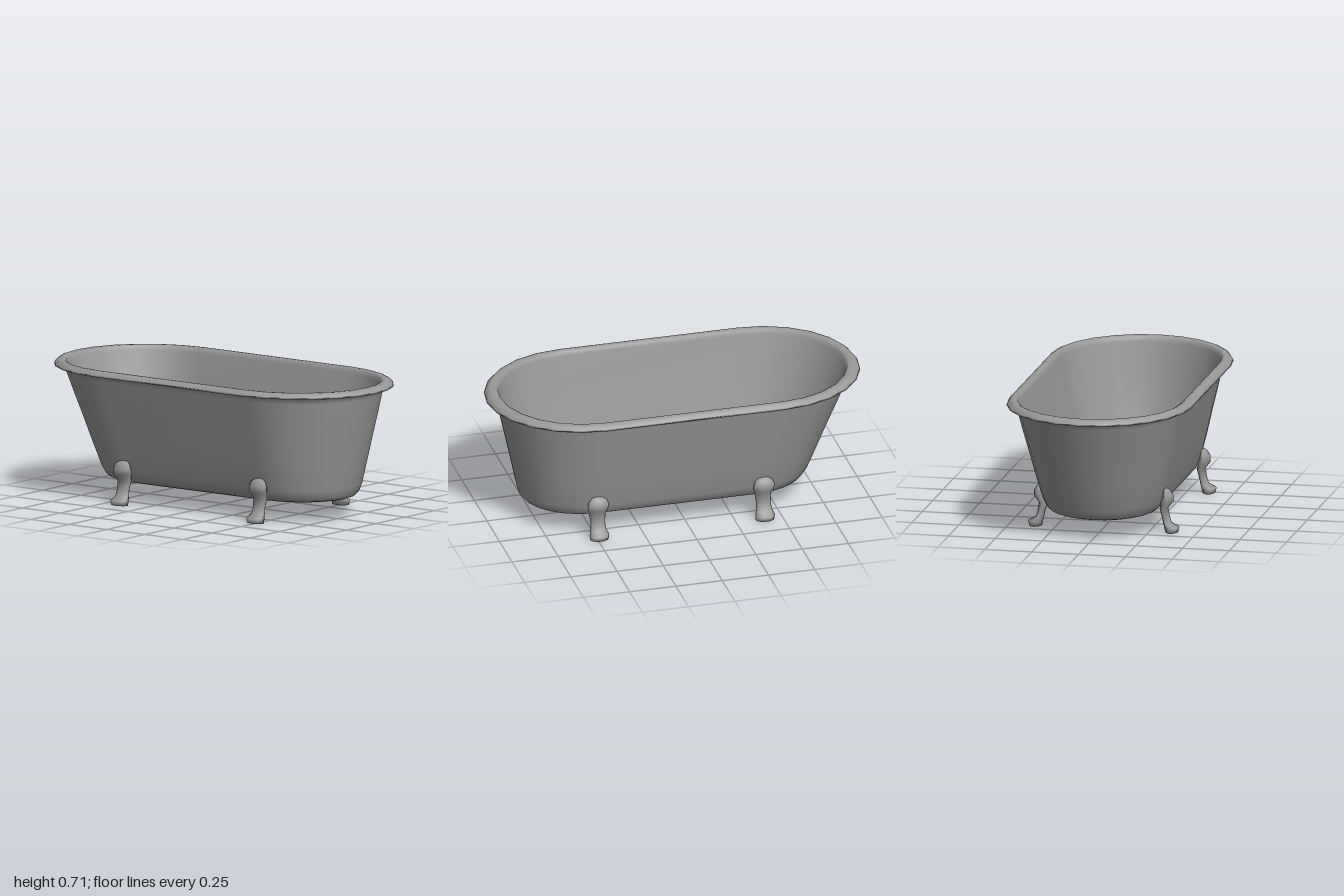
import * as THREE from 'three';

const material = new THREE.MeshStandardMaterial({ color: 0x999999 });

// Skin a stack of equal-length closed rings of [x, y, z] points, shaded smooth
function loft(rings) {
  const n = rings[0].length;
  const index = [];
  for (let i = 0; i < rings.length - 1; i++) {
    for (let j = 0; j < n; j++) {
      const a = i * n + j, b = i * n + (j + 1) % n;
      index.push(a, a + n, b, b, a + n, b + n);
    }
  }
  const geometry = new THREE.BufferGeometry();
  geometry.setAttribute('position', new THREE.Float32BufferAttribute(rings.flat(2), 3));
  geometry.setIndex(index);
  geometry.computeVertexNormals();
  return geometry;
}

// Oblong ring: straight sides joined by two half-ellipse ends
function oblong([y, xLow, xHigh, halfZ]) {
  const cHigh = 0.48;
  const cLow = -0.39 - 0.09 * THREE.MathUtils.clamp((y - 0.1) / 0.58, 0, 1);
  const ring = [];
  for (let k = -6; k <= 6; k++) {
    const t = k * Math.PI / 12;
    ring.push([cHigh + (xHigh - cHigh) * Math.cos(t), y, halfZ * Math.sin(t)]);
  }
  for (let k = 6; k <= 18; k++) {
    const t = k * Math.PI / 12;
    ring.push([cLow - (xLow - cLow) * Math.cos(t), y, halfZ * Math.sin(t)]);
  }
  return ring;
}

// Ring of a leg, ten-sided
function legRing([y, zIn, zOut, halfX]) {
  return Array.from({ length: 10 }, (_, k) => {
    const t = k * Math.PI / 5;
    return [halfX * Math.cos(t), y, (zIn + zOut) / 2 + (zOut - zIn) / 2 * Math.sin(t)];
  });
}

export function createModel() {
  const group = new THREE.Group();

  // Each row: height, low x, high x, half depth
  const outer = [
    [0.105, -0.39, 0.48, 0],
    [0.105, -0.665, 0.78, 0.262],
    [0.113, -0.69, 0.805, 0.282],
    [0.13, -0.705, 0.82, 0.299],
    [0.17, -0.73, 0.835, 0.317],
    [0.30, -0.785, 0.862, 0.35],
    [0.42, -0.835, 0.888, 0.377],
    [0.55, -0.892, 0.917, 0.408],
    [0.65, -0.935, 0.938, 0.43],
    [0.686, -0.95, 0.945, 0.438],
  ];
  const rim = [
    [0.686, -1, 1, 0.487],
    [0.695, -0.995, 0.995, 0.482],
    [0.708, -0.983, 0.983, 0.47],
    [0.714, -0.968, 0.968, 0.457],
    [0.714, -0.945, 0.942, 0.442],
    [0.708, -0.931, 0.928, 0.43],
  ];
  const inner = [
    [0.686, -0.925, 0.922, 0.424],
    [0.55, -0.875, 0.9, 0.395],
    [0.42, -0.822, 0.876, 0.365],
    [0.30, -0.772, 0.85, 0.338],
    [0.20, -0.725, 0.825, 0.314],
    [0.16, -0.705, 0.807, 0.3],
    [0.135, -0.68, 0.785, 0.277],
    [0.122, -0.64, 0.75, 0.245],
    [0.12, -0.39, 0.48, 0],
  ];
  const tub = new THREE.Mesh(loft([...outer, ...rim, ...inner].map(oblong)), material);
  tub.name = 'tub';
  group.add(tub);

  // Legs: height, inner z, outer z, half width
  const legGeometry = loft([
    [0, 0.36, 0.36, 0],
    [0, 0.33, 0.396, 0.05],
    [0.025, 0.325, 0.403, 0.053],
    [0.045, 0.32, 0.362, 0.043],
    [0.08, 0.312, 0.352, 0.039],
    [0.125, 0.3, 0.343, 0.044],
    [0.16, 0.306, 0.37, 0.054],
    [0.19, 0.316, 0.37, 0.058],
    [0.215, 0.32, 0.356, 0.047],
    [0.229, 0.323, 0.34, 0.025],
    [0.232, 0.331, 0.331, 0],
  ].map(legRing));
  for (const x of [-0.405, 0.49]) {
    for (const back of [false, true]) {
      const leg = new THREE.Mesh(legGeometry, material);
      leg.name = (back ? 'back' : 'front') + (x > 0 ? 'Left' : 'Right') + 'Leg';
      leg.position.set(x, 0, 0.003);
      leg.rotation.y = back ? Math.PI : 0;
      group.add(leg);
    }
  }
  return group;
}
